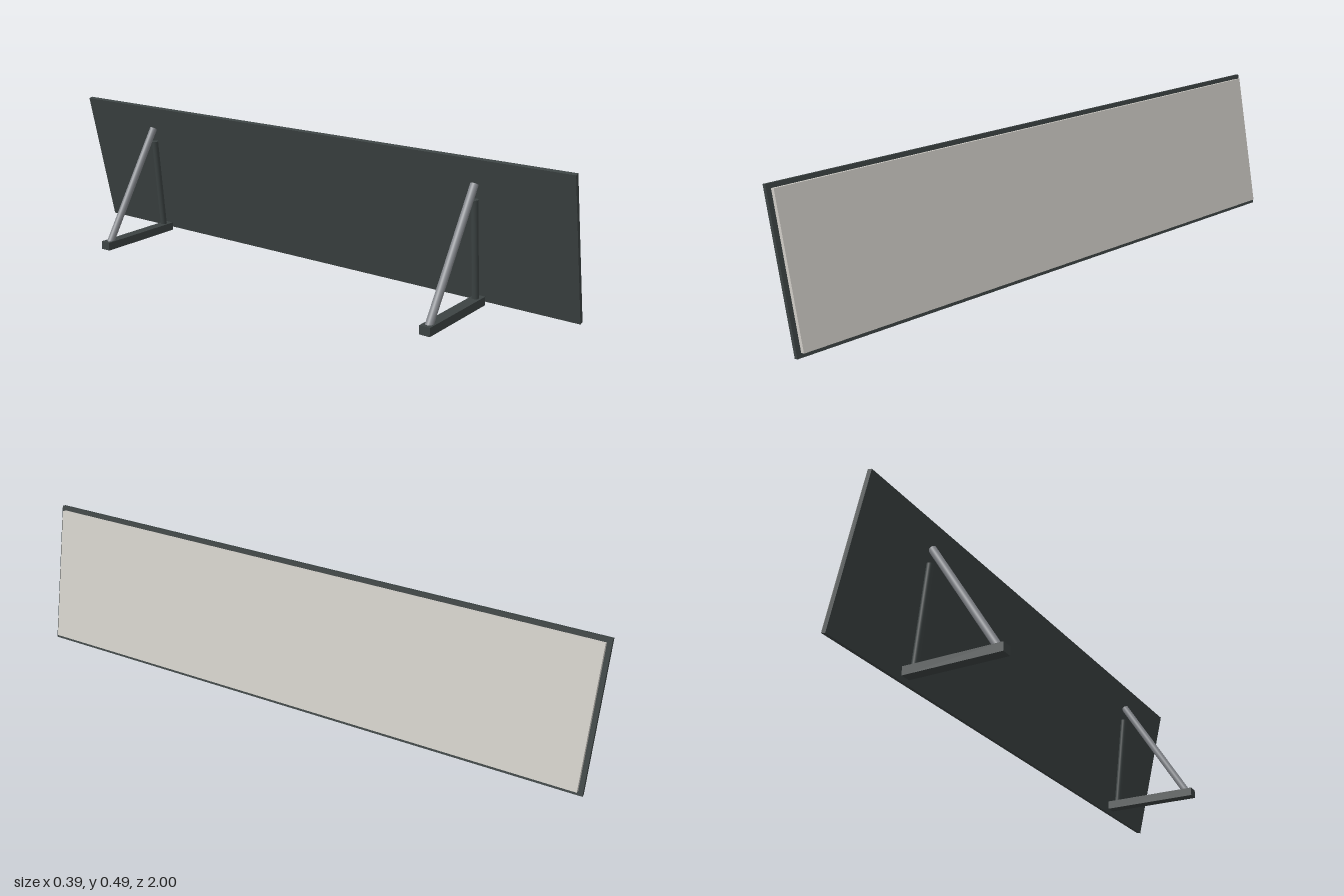
import * as THREE from 'three';

export function createModel() {
  const model = new THREE.Group();
  const frameDark = new THREE.MeshStandardMaterial({ color: 0x3c4343 });
  frameDark.name = 'dark frame';
  const panelPale = new THREE.MeshStandardMaterial({ color: 0xcfccc6 });
  panelPale.name = 'pale panel';
  const strutGrey = new THREE.MeshStandardMaterial({ color: 0x84878c });
  strutGrey.name = 'grey metal';

  function box(name, material, size, position, parent) {
    const mesh = new THREE.Mesh(new THREE.BoxGeometry(...size), material);
    mesh.name = name;
    mesh.position.set(...position);
    parent.add(mesh);
  }

  // Round bar between two points in the x-y plane
  function bar(name, material, radius, from, to, parent) {
    const a = new THREE.Vector3(...from, 0);
    const b = new THREE.Vector3(...to, 0);
    const dir = b.clone().sub(a);
    const mesh = new THREE.Mesh(new THREE.CylinderGeometry(radius, radius, dir.length(), 24), material);
    mesh.name = name;
    mesh.position.copy(a).add(b).multiplyScalar(0.5);
    mesh.quaternion.setFromUnitVectors(new THREE.Vector3(0, 1, 0), dir.normalize());
    parent.add(mesh);
  }

  // Leaning board: dark backing with the pale panel on its +x face
  const board = new THREE.Group();
  board.name = 'leaningBoard';
  board.position.set(0.119, 0.246, 0);
  board.rotation.z = 0.223;
  box('backing', frameDark, [0.015, 0.497, 2], [0, 0, 0], board);
  box('panel', panelPale, [0.016, 0.468, 1.97], [0.0153, 0, 0], board);
  model.add(board);

  // Two triangular stands behind the board
  for (const side of [1, -1]) {
    const stand = new THREE.Group();
    stand.name = side > 0 ? 'frontStand' : 'rearStand';
    stand.position.z = side * 0.673;
    box('foot', frameDark, [0.336, 0.029, 0.037], [-0.027, 0.0145, 0], stand);
    bar('upright', frameDark, 0.0115, [0.1115, 0.015], [0.076, 0.357], stand);
    bar('diagonalStrut', strutGrey, 0.013, [-0.175, 0.015], [0.0705, 0.4065], stand);
    model.add(stand);
  }
  return model;
}
